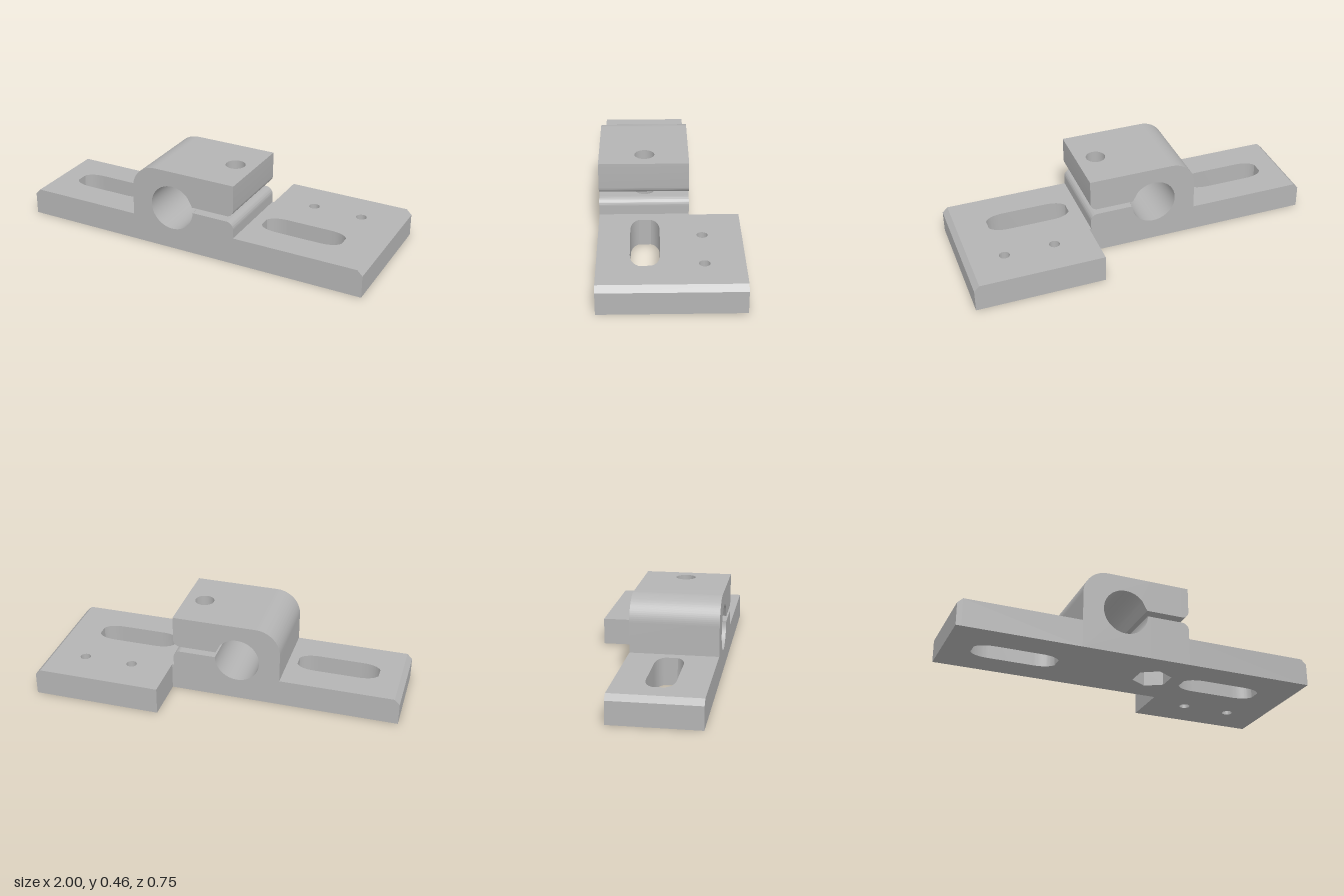
import * as THREE from 'three';
import { toCreasedNormals } from 'three/addons/utils/BufferGeometryUtils.js';

const FRONT = 0.375, BACK = -0.107, PLATE_BACK = -0.375;
const PLATE_TOP = 0.152, CHAMFER = 0.029;
const BOLT = { x: 0.163, z: 0.13, r: 0.054 };
const SPLIT = 0.05, TIP = 0.235, END = 0.275; // x stations of the clamp jaws
const SLIT_LOW = 0.243, SLIT_HIGH = 0.275, TOP = 0.455;

export function createModel() {
  const model = new THREE.Group();
  model.name = 'clampBracket';
  const grey = new THREE.MeshStandardMaterial({ color: 0xb4b4b4 });
  grey.name = 'grey';

  function add(name, geometry) {
    const mesh = new THREE.Mesh(toCreasedNormals(geometry, 0.5), grey);
    mesh.name = name;
    model.add(mesh);
  }
  // Side profile (x, y) swept from z0 to z1
  function sweep(name, shape, z0, z1) {
    const g = new THREE.ExtrudeGeometry(shape, { depth: z1 - z0, bevelEnabled: false, curveSegments: 32 });
    add(name, g.translate(0, 0, z0));
  }
  // Plan outline (x, -z) raised from y0 to y1
  function raise(name, shape, y0, y1) {
    const g = new THREE.ExtrudeGeometry(shape, { depth: y1 - y0, bevelEnabled: false, curveSegments: 16 });
    add(name, g.rotateX(-Math.PI / 2).translate(0, y0, 0));
  }
  const outline = (pts) => new THREE.Shape(pts.map(([x, y]) => new THREE.Vector2(x, y)));
  const plan = (x0, x1) => outline([[x0, -FRONT], [x1, -FRONT], [x1, -BACK], [x0, -BACK]]);
  const round = (x, z, r) => new THREE.Path().absarc(x, -z, r, 0, Math.PI * 2, false);

  // Adjustment slot with softly rounded ends
  function slot(cx) {
    const cy = -0.13, L = 0.23, H = 0.077, e = 0.032, f = 0.12, c = 0.205;
    const p = new THREE.Path();
    p.moveTo(cx + L, cy - e);
    p.lineTo(cx + L, cy + e);
    p.quadraticCurveTo(cx + c, cy + H, cx + f, cy + H);
    p.lineTo(cx - f, cy + H);
    p.quadraticCurveTo(cx - c, cy + H, cx - L, cy + e);
    p.lineTo(cx - L, cy - e);
    p.quadraticCurveTo(cx - c, cy - H, cx - f, cy - H);
    p.lineTo(cx + f, cy - H);
    p.quadraticCurveTo(cx + c, cy - H, cx + L, cy - e);
    return p;
  }

  // Base plates
  const narrow = plan(-1 + CHAMFER, -0.335);
  narrow.holes.push(slot(-0.62));
  raise('narrowPlate', narrow, 0, PLATE_TOP);

  const wide = outline([[END, -FRONT], [1 - CHAMFER, -FRONT], [1 - CHAMFER, -PLATE_BACK],
    [0.285, -PLATE_BACK], [0.285, -BACK], [END, -BACK]]);
  wide.holes.push(slot(0.57), round(0.505, -0.168, 0.029), round(0.783, -0.168, 0.029));
  raise('widePlate', wide, 0, PLATE_TOP);

  // Chamfered plate ends
  const s = 1 - CHAMFER, low = PLATE_TOP - CHAMFER;
  sweep('wideEnd', outline([[s, 0], [1, 0], [1, low], [s, PLATE_TOP]]), PLATE_BACK, FRONT);
  sweep('narrowEnd', outline([[-1, 0], [-s, 0], [-s, PLATE_TOP], [-1, low]]), BACK, FRONT);

  // Clamp body: rounded shoulder and bore that opens into the slit
  const body = new THREE.Shape();
  body.moveTo(-0.335, 0);
  body.lineTo(SPLIT, 0);
  body.lineTo(SPLIT, SLIT_LOW);
  body.lineTo(0.033, SLIT_LOW);
  body.absarc(-0.093, 0.244, 0.126, 0, 0.69, true);
  body.lineTo(0.03, SLIT_HIGH);
  body.lineTo(SPLIT, SLIT_HIGH);
  body.lineTo(SPLIT, TOP);
  body.lineTo(-0.195, TOP);
  body.absarc(-0.195, TOP - 0.14, 0.14, Math.PI / 2, Math.PI, false);
  body.lineTo(-0.335, 0);
  sweep('clampBody', body, BACK, FRONT);

  // Jaw sections around the bolt hole
  function bored(name, x1, y0, y1, hole) {
    const shape = plan(SPLIT, x1);
    shape.holes.push(hole);
    raise(name, shape, y0, y1);
  }
  const bolt = () => round(BOLT.x, BOLT.z, BOLT.r);
  const hex = new THREE.Path([...Array(6).keys()].map((i) => {
    const a = Math.PI / 6 + i * Math.PI / 3;
    return new THREE.Vector2(BOLT.x + 0.107 * Math.cos(a), -BOLT.z + 0.107 * Math.sin(a));
  }));
  const R = END - TIP;
  bored('nutPocket', END, 0, 0.09, hex);
  bored('lowerJaw', END, 0.09, SLIT_LOW - R, bolt());
  bored('lowerJawTop', TIP, SLIT_LOW - R, SLIT_LOW, bolt());
  bored('upperJaw', TIP, SLIT_HIGH, TOP, bolt());

  // Rounded jaw lips at the slit mouth
  const lowerLip = new THREE.Shape();
  lowerLip.moveTo(TIP, SLIT_LOW - R);
  lowerLip.lineTo(END, SLIT_LOW - R);
  lowerLip.absarc(TIP, SLIT_LOW - R, R, 0, Math.PI / 2, false);
  sweep('lowerLip', lowerLip, BACK, FRONT);

  const upperLip = new THREE.Shape();
  upperLip.moveTo(TIP, TOP);
  upperLip.lineTo(TIP, SLIT_HIGH);
  upperLip.absarc(TIP, SLIT_HIGH + R, R, -Math.PI / 2, 0, false);
  upperLip.lineTo(END, TOP);
  sweep('upperLip', upperLip, BACK, FRONT);

  return model;
}
